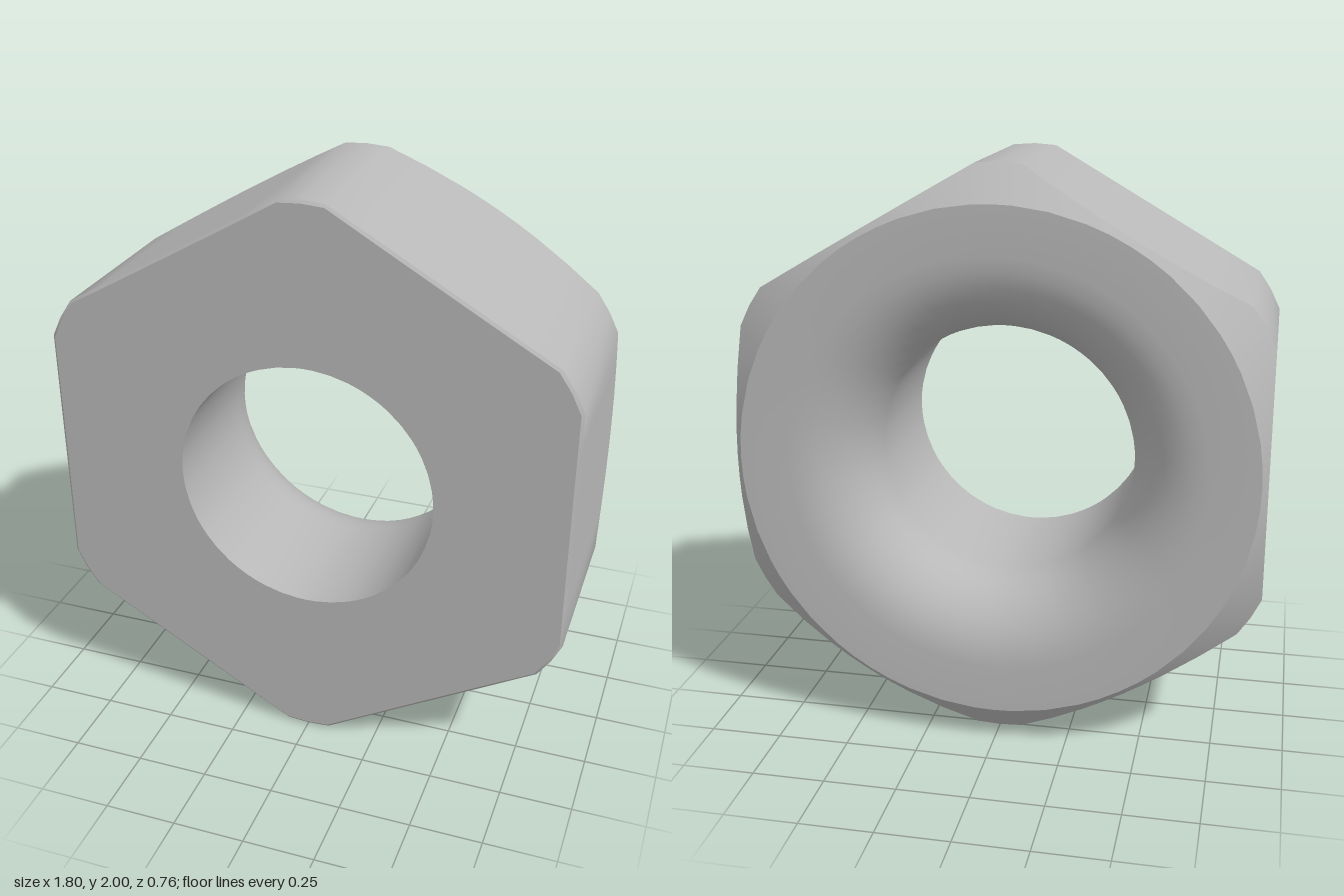
import * as THREE from 'three';
import { toCreasedNormals } from 'three/addons/utils/BufferGeometryUtils.js';

const rad = THREE.MathUtils.degToRad;
const APOTHEM = 0.9, CORNER = 1.0, HALF = 0.38, RIM = 0.88, BORE = 0.445;

// Angles around the axis, measured from each hexagon corner
const steps = [-25, -20, -12, -4.46, 0, 4.46, 12, 20, 25, 30];
const columns = [];
for (let k = 0; k < 6; k++) {
  for (const phi of steps) {
    // Hexagon radius, with the corner cut flat
    const flat = APOTHEM / Math.cos(rad(30 - Math.abs(phi)));
    const cut = CORNER / Math.cos(rad(phi));
    columns.push({ angle: rad(90 + 60 * k + phi), radius: Math.min(flat, cut) });
  }
}

// Sweep a profile of [radius, z] points around the z axis
function sweep(profile) {
  const positions = [], index = [];
  const rows = profile(columns[0].radius).length;
  for (const { angle, radius } of columns) {
    for (const [r, z] of profile(radius)) {
      positions.push(r * Math.cos(angle), r * Math.sin(angle), z);
    }
  }
  for (let i = 0; i < columns.length; i++) {
    const next = (i + 1) % columns.length;
    for (let j = 0; j < rows - 1; j++) {
      const a = i * rows + j, b = next * rows + j;
      index.push(a, a + 1, b + 1, a, b + 1, b);
    }
  }
  const geometry = new THREE.BufferGeometry();
  geometry.setAttribute('position', new THREE.Float32BufferAttribute(positions, 3));
  geometry.setIndex(index);
  return toCreasedNormals(geometry, 0.6);
}

// Front face, fine front bevel, hexagonal sides and conical back chamfer
function outerProfile(R) {
  return [
    [BORE, HALF],
    [R - 0.01, HALF],
    [R, HALF - 0.008],
    [R, -HALF + (R - RIM) * 0.97],
    [RIM, -HALF],
  ];
}

// Back face rounding smoothly into the straight bore
function boreProfile() {
  const points = [[RIM, -HALF]];
  const width = 0.27, depth = 0.26, n = 8;
  for (let i = 0; i <= n; i++) {
    const t = (i / n) * Math.PI / 2;
    points.push([BORE + width * (1 - Math.sin(t)), -HALF + depth * (1 - Math.cos(t))]);
  }
  points.push([BORE, HALF]);
  return points;
}

export function createModel() {
  const metal = new THREE.MeshStandardMaterial({ color: 0xb8b8b8 });
  metal.name = 'grey metal';

  const group = new THREE.Group();
  group.name = 'hexNut';
  for (const [name, profile] of [['hexBody', outerProfile], ['flaredBore', boreProfile]]) {
    const mesh = new THREE.Mesh(sweep(profile), metal);
    mesh.name = name;
    mesh.position.y = 1;
    group.add(mesh);
  }
  return group;
}
